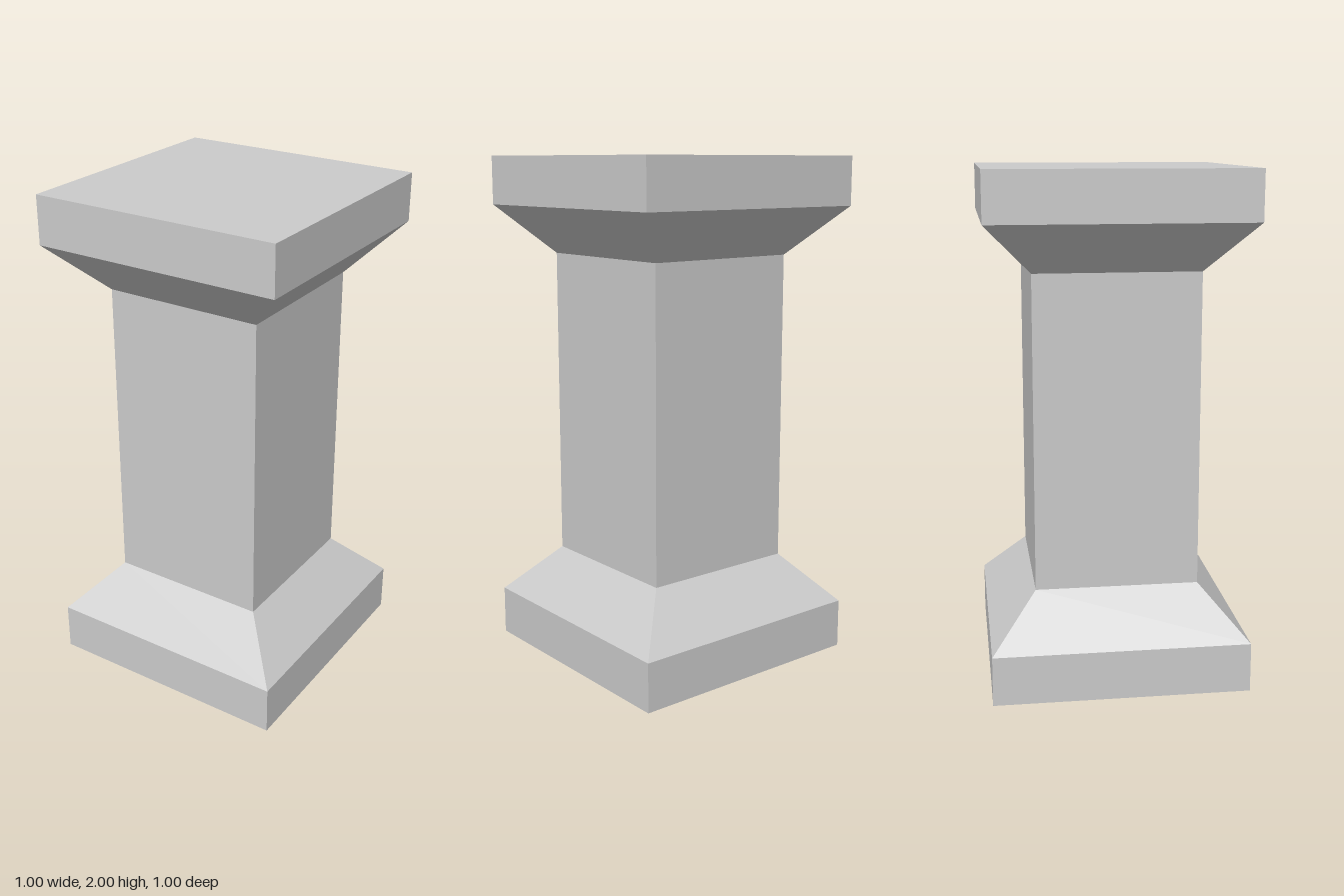
import * as THREE from 'three';

const material = new THREE.MeshStandardMaterial({ color: 0xcccccc, flatShading: true });

// Square section swept up a profile of [half width, height] points
function squarePart(name, profile) {
  const points = profile.map(([half, y]) => new THREE.Vector2(half * Math.SQRT2, y));
  const geometry = new THREE.LatheGeometry(points, 4, Math.PI / 4).toNonIndexed();
  geometry.computeVertexNormals();
  const mesh = new THREE.Mesh(geometry, material);
  mesh.name = name;
  return mesh;
}

export function createModel() {
  const group = new THREE.Group();
  group.name = 'pedestal';

  const wide = 0.5, narrow = 0.32;
  const plinthTop = 0.195, shaftBottom = 0.39, shaftTop = 1.62, slabBottom = 1.81, height = 2;

  group.add(
    // Base, closed underneath
    squarePart('plinth', [[0, 0], [wide, 0], [wide, plinthTop]]),
    squarePart('baseSlope', [[wide, plinthTop], [narrow, shaftBottom]]),
    squarePart('shaft', [[narrow, shaftBottom], [narrow, shaftTop]]),
    // Capital, closed on top
    squarePart('capitalSlope', [[narrow, shaftTop], [wide, slabBottom]]),
    squarePart('topSlab', [[wide, slabBottom], [wide, height], [0, height]]),
  );
  return group;
}
